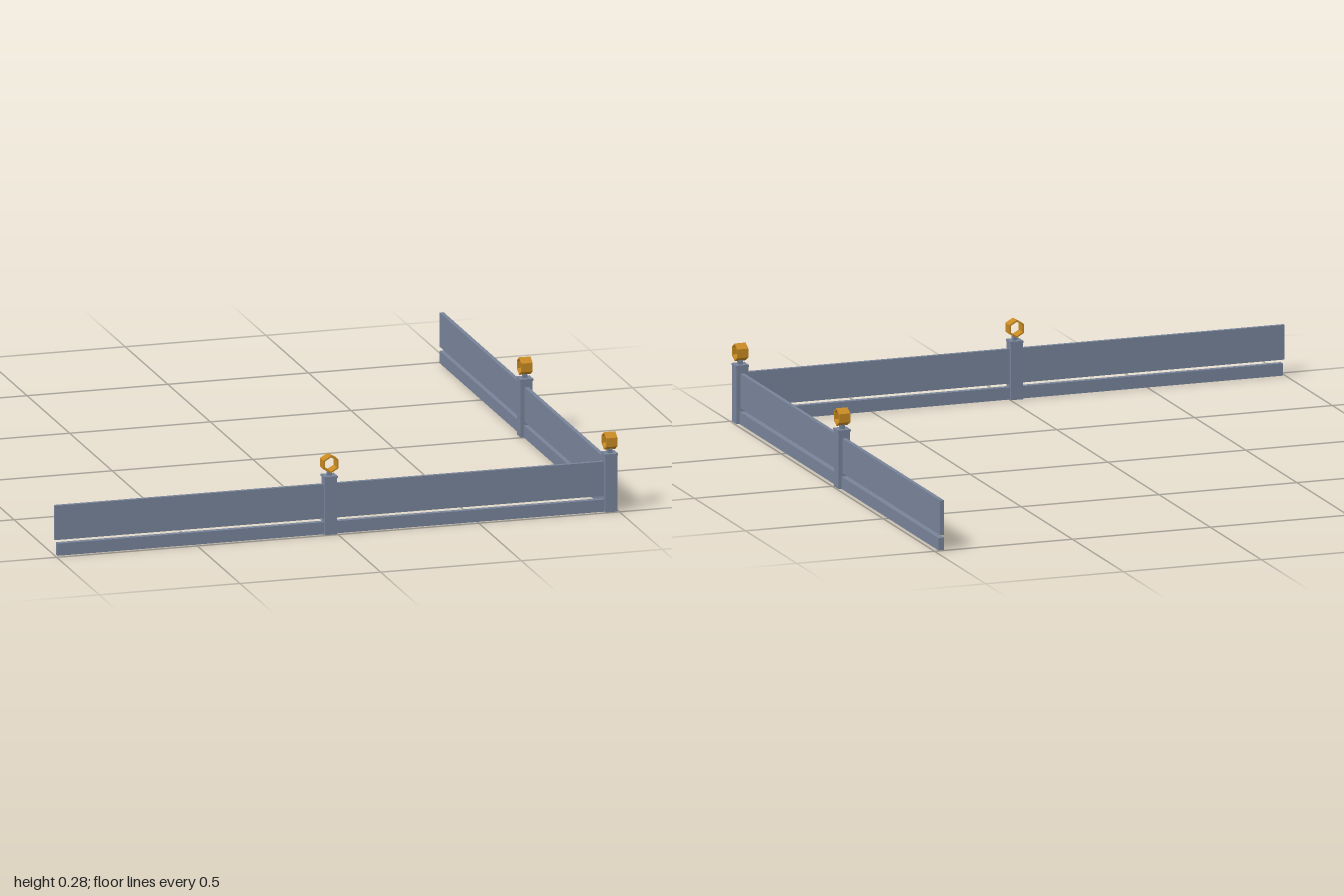
import * as THREE from 'three';

const steel = new THREE.MeshStandardMaterial({ color: 0x78849a });
steel.name = 'blue grey steel';
const gold = new THREE.MeshStandardMaterial({ color: 0xc88a22 });
gold.name = 'gold';

const CORNER = 0.973; // both wall lines meet here
const MID = -0.023;   // middle post along each wall
const POST = 0.043;

function box(name, w, h, d, x, y, z) {
  const mesh = new THREE.Mesh(new THREE.BoxGeometry(w, h, d), steel);
  mesh.name = name;
  mesh.position.set(x, y + h / 2, z);
  return mesh;
}

// Hexagonal tube, open along z, standing on a corner
function hexRing() {
  const hexagon = (path, r) => {
    for (let i = 0; i < 6; i++) {
      const a = Math.PI / 2 + i * Math.PI / 3;
      path[i ? 'lineTo' : 'moveTo'](r * Math.cos(a), r * Math.sin(a));
    }
    path.closePath();
    return path;
  };
  const shape = hexagon(new THREE.Shape(), 0.031);
  shape.holes.push(hexagon(new THREE.Path(), 0.025));
  const depth = 0.04;
  const geometry = new THREE.ExtrudeGeometry(shape, { depth, bevelEnabled: false });
  geometry.translate(0, 0, -depth / 2);
  const ring = new THREE.Mesh(geometry, gold);
  ring.name = 'hexRing';
  ring.position.y = 0.247;
  return ring;
}

// Square post with flat cap, short neck and ring
function post(name, x) {
  const group = new THREE.Group();
  group.name = name;
  group.add(
    box('postShaft', POST, 0.198, POST, 0, 0, 0),
    box('postCap', 0.047, 0.007, 0.047, 0, 0.198, 0),
    box('ringNeck', 0.016, 0.014, 0.016, 0, 0.205, 0),
    hexRing()
  );
  group.position.x = x;
  return group;
}

// One straight wall along x: tall panels above low base rails
function wall(name) {
  const group = new THREE.Group();
  group.name = name;
  const spans = [[-1, MID - POST / 2], [MID + POST / 2, CORNER - POST / 2]];
  spans.forEach(([a, b], i) => {
    group.add(box('panel', b - a, 0.121, 0.014, (a + b) / 2, 0.055, 0));
    const start = i ? a : a + 0.008;
    group.add(box('baseRail', b - start, 0.043, 0.02, (start + b) / 2, 0, 0));
  });
  group.add(post('middlePost', MID));
  return group;
}

export function createModel() {
  const model = new THREE.Group();
  model.name = 'cornerFence';

  const front = wall('frontWall');
  front.position.z = CORNER;

  // The same wall turned so that its end meets the corner
  const side = wall('sideWall');
  side.rotation.y = -Math.PI / 2;
  side.position.x = CORNER;

  const corner = post('cornerPost', CORNER);
  corner.position.z = CORNER;
  corner.rotation.y = Math.PI / 2;

  model.add(front, side, corner);
  return model;
}
